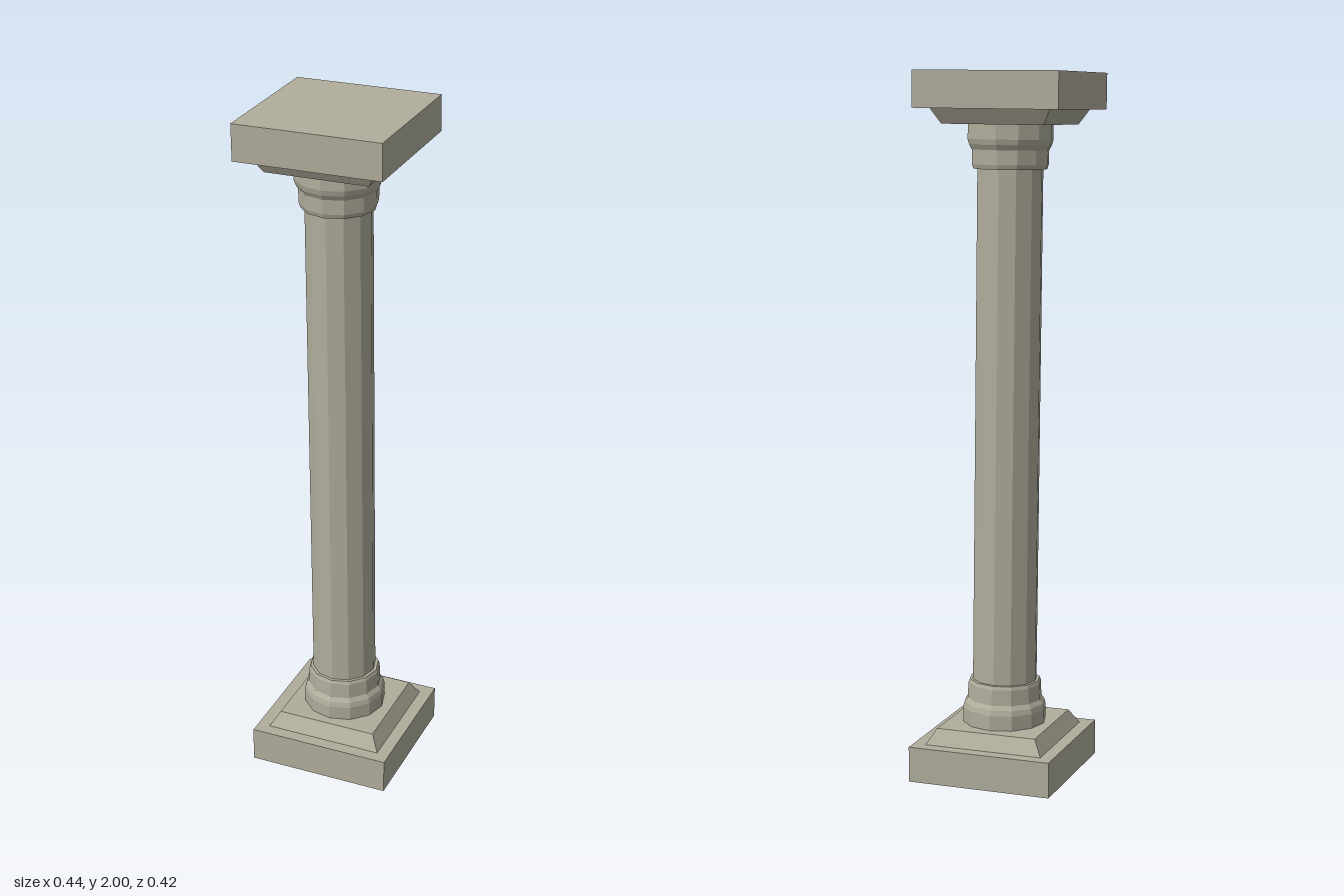
import * as THREE from 'three';

export function createModel() {
  const model = new THREE.Group();
  model.name = 'column';
  const stone = new THREE.MeshStandardMaterial({ color: 0xb0ad9c, flatShading: true });

  const add = (parent, name, geometry, y = 0) => {
    const mesh = new THREE.Mesh(geometry, stone);
    mesh.name = name;
    mesh.position.y = y;
    parent.add(mesh);
    return mesh;
  };
  // Twelve-sided turned part from [radius, y] pairs
  const turned = (points) =>
    new THREE.LatheGeometry(points.map(([r, y]) => new THREE.Vector2(r, y)), 12);
  // Square tapered slab given by its half widths
  const taper = (top, bottom, height) =>
    new THREE.CylinderGeometry(top * Math.SQRT2, bottom * Math.SQRT2, height, 4).rotateY(Math.PI / 4);

  // Plinth: square block with a bevelled step, slightly tipped backwards
  const plinth = new THREE.Group();
  plinth.name = 'plinth';
  plinth.position.x = 0.01;
  plinth.rotation.x = -0.012;
  add(plinth, 'baseBlock', new THREE.BoxGeometry(0.42, 0.102, 0.42), 0.0535);
  add(plinth, 'baseStep', taper(0.148, 0.174, 0.044), 0.126);
  model.add(plinth);

  // Everything above leans slightly to the side
  const upper = new THREE.Group();
  upper.name = 'leaningColumn';
  upper.position.x = 0.01;
  upper.rotation.z = 0.0115;
  model.add(upper);

  add(upper, 'shaft', turned([[0.093, 0.2], [0.093, 1.8]]));
  add(upper, 'baseMoulding', turned([
    [0.12, 0.135], [0.121, 0.19], [0.117, 0.205], [0.108, 0.217], [0.106, 0.262], [0.102, 0.272], [0.09, 0.272],
  ]));
  add(upper, 'capitalMoulding', turned([
    [0.09, 1.73], [0.104, 1.73], [0.108, 1.742], [0.109, 1.783], [0.117, 1.797], [0.121, 1.812], [0.12, 1.86],
  ]));
  add(upper, 'capitalStep', taper(0.174, 0.148, 0.044), 1.875);
  add(upper, 'topBlock', new THREE.BoxGeometry(0.42, 0.102, 0.42), 1.946);

  return model;
}
